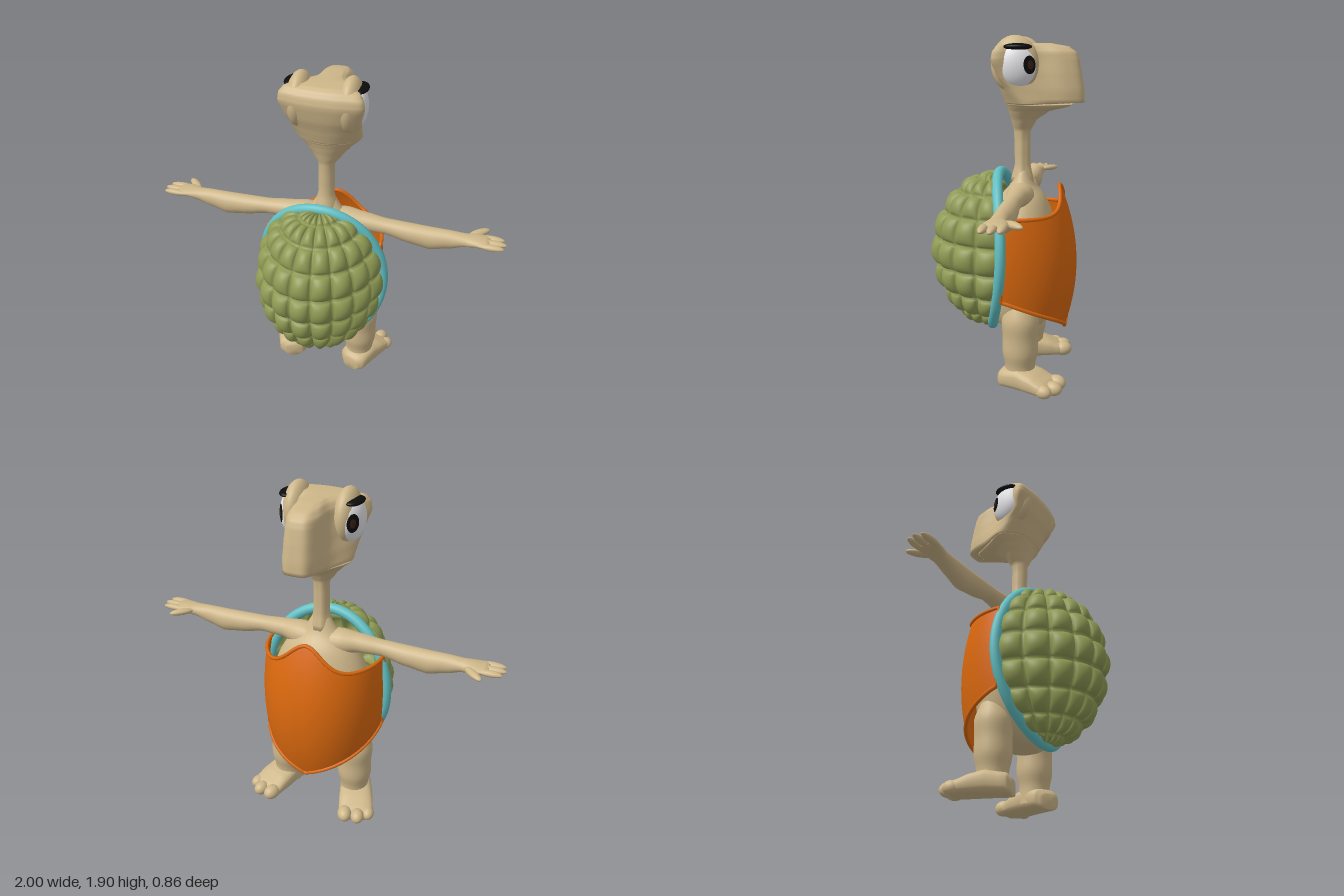
import * as THREE from 'three';
import { ParametricGeometry } from 'three/addons/geometries/ParametricGeometry.js';

const mat = (name, color, side = THREE.FrontSide) => {
  const m = new THREE.MeshStandardMaterial({ color, side });
  m.name = name;
  return m;
};

const V = (x, y, z) => new THREE.Vector3(x, y, z);

// Skin a list of closed rings, capping both ends; winding is made outward.
function loft(rings) {
  const n = rings[0].length, pos = [], idx = [];
  rings.forEach(r => r.forEach(p => pos.push(p.x, p.y, p.z)));
  const center = r => r.reduce((a, p) => a.add(p), V(0, 0, 0)).divideScalar(n);
  for (let i = 0; i < rings.length - 1; i++)
    for (let j = 0; j < n; j++) {
      const a = i * n + j, b = i * n + (j + 1) % n;
      idx.push(a, b, b + n, a, b + n, a + n);
    }
  const last = (rings.length - 1) * n, c0 = rings.length * n;
  for (const r of [rings[0], rings.at(-1)]) pos.push(...center(r).toArray());
  for (let j = 0; j < n; j++) {
    const k = (j + 1) % n;
    idx.push(c0, k, j, c0 + 1, last + j, last + k);
  }
  const p = i => V(pos[3 * i], pos[3 * i + 1], pos[3 * i + 2]);
  let volume = 0;
  for (let i = 0; i < idx.length; i += 3) volume += p(idx[i]).dot(p(idx[i + 1]).cross(p(idx[i + 2])));
  if (volume < 0) idx.reverse();
  const g = new THREE.BufferGeometry();
  g.setAttribute('position', new THREE.Float32BufferAttribute(pos, 3));
  g.setIndex(idx);
  g.computeVertexNormals();
  return g;
}

// Smoothly resample rows of section numbers.
function smoothRows(rows, steps) {
  const out = [];
  for (let i = 0; i < rows.length - 1; i++)
    for (let s = 0; s < steps; s++) {
      const t = s / steps, k = t * t * (3 - 2 * t) * 0.5 + t * 0.5;
      out.push(rows[i].map((a, c) => a + (rows[i + 1][c] - a) * (c ? k : t)));
    }
  out.push(rows.at(-1));
  return out;
}

export function createModel() {
  const skin = mat('skin', 0xcdb689);
  const olive = mat('shellOlive', 0x8f9a54, THREE.DoubleSide);
  const teal = mat('rimTeal', 0x62c0c4);
  const orange = mat('plastronOrange', 0xda680e, THREE.DoubleSide);
  const white = mat('eyeWhite', 0xe6e6ea);
  const black = mat('black', 0x0c0c0c);
  const brown = mat('pupilBrown', 0x3a2012);

  const model = new THREE.Group();
  const add = (name, geo, material, parent = model) => {
    const m = new THREE.Mesh(geo, material);
    m.name = name;
    parent.add(m);
    return m;
  };
  const ball = (name, material, c, r, parent) => {
    const m = add(name, new THREE.SphereGeometry(1, 32, 20), material, parent);
    m.position.set(...c);
    m.scale.set(...r);
    return m;
  };

  // Torso
  const profile = new THREE.SplineCurve([[0, 0.29], [0.15, 0.3], [0.25, 0.38], [0.295, 0.55], [0.295, 0.75],
    [0.26, 0.9], [0.19, 1.03], [0.1, 1.11], [0.05, 1.19]].map(p => new THREE.Vector2(...p)));
  const torso = add('torso', new THREE.LatheGeometry(profile.getPoints(40), 40), skin);
  torso.scale.z = 0.68;
  torso.position.z = -0.09;

  // Neck, jaw and beak: [y, back z, half width, z of widest, mid half width, beak half width, front z]
  const headRows = [
    [1.12, -0.02, 0.07, -0.085, 0.05, 0.035, -0.15],
    [1.22, -0.045, 0.046, -0.085, 0.037, 0.027, -0.13],
    [1.4, -0.04, 0.046, -0.085, 0.037, 0.027, -0.13],
    [1.46, -0.025, 0.09, -0.1, 0.075, 0.05, -0.16],
    [1.51, -0.01, 0.135, -0.11, 0.1, 0.06, -0.23],
    [1.54, 0, 0.17, -0.12, 0.12, 0.075, -0.345],
    [1.55, 0.005, 0.18, -0.12, 0.12, 0.075, -0.36],
    [1.553, 0.005, 0.18, -0.12, 0.1, 0.06, -0.3],
    [1.56, 0.01, 0.185, -0.11, 0.125, 0.085, -0.42],
    [1.62, 0.03, 0.19, -0.06, 0.125, 0.09, -0.417],
    [1.7, 0.06, 0.205, 0, 0.115, 0.088, -0.405],
    [1.78, 0.078, 0.228, 0.03, 0.1, 0.083, -0.39],
    [1.82, 0.07, 0.222, 0.03, 0.095, 0.08, -0.375],
    [1.85, 0.05, 0.2, 0.015, 0.08, 0.065, -0.335],
    [1.868, 0.02, 0.15, -0.02, 0.06, 0.045, -0.24],
  ];
  const headRing = ([y, zb, W, zW, S, B, zf]) => {
    const half = [[W * 0.6, zb + (zW - zb) * 0.25], [W, zW], [S, zW + (zf - zW) * 0.5],
      [B, zW + (zf - zW) * 0.82], [B * 0.6, zf + (zW - zf) * 0.02]];
    const pts = [[0, zb], ...half, [0, zf], ...half.map(([x, z]) => [-x, z]).reverse()];
    return new THREE.CatmullRomCurve3(pts.map(([x, z]) => V(x, y, z)), true).getPoints(64).slice(0, 64);
  };
  add('headAndNeck', loft(smoothRows(headRows, 3).map(headRing)), skin);

  // Domed shell covered in pillow-like scutes, sitting on a wavy rim
  const rimZ = y => -0.02 + 0.08 * ((y - 0.78) / 0.45) ** 2;
  const shell = new ParametricGeometry((u, v, p) => {
    const lon = (u - 0.5) * Math.PI, lat = (v - 0.5) * Math.PI * 0.99;
    const cell = Math.abs(Math.sin(u * 9 * Math.PI) * Math.sin(v * 9 * Math.PI)) ** 0.45;
    const b = 0.05 * cell * Math.sqrt(Math.cos(lat));
    const c = Math.cos(lat), y = 0.735 + (0.425 + b) * Math.sin(lat);
    p.set((0.33 + b) * c * Math.sin(lon), y,
      (0.385 + b) * c * Math.cos(lon) + rimZ(y) * (1 - c * Math.cos(lon)));
  }, 126, 126);
  shell.computeVertexNormals();
  add('shell', shell, olive);

  const rimPts = [];
  for (let i = 0; i < 32; i++) {
    const a = i / 32 * Math.PI * 2, y = 0.735 + 0.437 * Math.sin(a);
    rimPts.push(V(0.36 * Math.cos(a), y, rimZ(y)));
  }
  add('shellRim', new THREE.TubeGeometry(new THREE.CatmullRomCurve3(rimPts, true), 96, 0.029, 12, true), teal);

  // Chest plate with a peak at the top and a point at the bottom
  const plate = (u, v, p) => {
    const a = (0.5 - u) * Math.PI, t = Math.abs(1 - 2 * u);
    const top = 0.97 + 0.14 * Math.exp(-((a / 0.42) ** 2)), low = 0.29 + 0.24 * t;
    const y = low + (top - low) * v;
    return p.set((0.35 - 0.3 * (y - 0.72) ** 2) * Math.sin(a), y,
      -0.02 * t - (0.395 - 0.48 * (y - 0.65) ** 2) * Math.cos(a));
  };
  const plateGeo = new ParametricGeometry(plate, 48, 32);
  plateGeo.computeVertexNormals();
  add('chestPlate', plateGeo, orange);
  const edge = [];
  for (let i = 0; i <= 32; i++) edge.push(plate(i / 32, 1, V(0, 0, 0)));
  for (let i = 1; i < 10; i++) edge.push(plate(1, 1 - i / 10, V(0, 0, 0)));
  for (let i = 32; i >= 0; i--) edge.push(plate(i / 32, 0, V(0, 0, 0)));
  for (let i = 1; i < 10; i++) edge.push(plate(0, i / 10, V(0, 0, 0)));
  add('chestPlateEdge', new THREE.TubeGeometry(new THREE.CatmullRomCurve3(edge, true), 160, 0.011, 8, true), orange);

  // Arm sections: [x, y, half height, z, half depth]
  const armRows = [[0.02, 1.04, 0.08, -0.09, 0.08], [0.12, 1.06, 0.07, -0.09, 0.075], [0.22, 1.068, 0.052, -0.085, 0.055],
    [0.35, 1.063, 0.044, -0.08, 0.046], [0.48, 1.047, 0.057, -0.08, 0.052], [0.6, 1.037, 0.065, -0.08, 0.053],
    [0.7, 1.05, 0.052, -0.08, 0.046], [0.78, 1.062, 0.035, -0.08, 0.044], [0.84, 1.07, 0.026, -0.085, 0.058],
    [0.89, 1.071, 0.02, -0.08, 0.062], [0.91, 1.071, 0.012, -0.08, 0.055]];
  const armRing = ([x, y, ry, z, rz]) => Array.from({ length: 24 }, (_, i) => {
    const a = i / 24 * Math.PI * 2;
    return V(x, y + ry * Math.sin(a), z + rz * Math.cos(a));
  });
  const armGeo = loft(smoothRows(armRows, 4).map(armRing));

  // Foot sections: [distance forward, half width, height]
  const footRows = [[-0.01, 0.05, 0.08], [0.02, 0.088, 0.11], [0.12, 0.095, 0.13], [0.2, 0.1, 0.11],
    [0.27, 0.1, 0.08], [0.31, 0.085, 0.055]];
  const footRing = ([d, w, h]) => Array.from({ length: 28 }, (_, i) => {
    const a = i / 28 * Math.PI * 2, sq = v => Math.sign(v) * Math.abs(v) ** 0.7;
    return V(w * sq(Math.cos(a)), 0.005 + h * (0.5 + 0.5 * sq(Math.sin(a))), -d);
  });
  const footGeo = loft(smoothRows(footRows, 3).map(footRing));
  const legProfile = new THREE.SplineCurve([[0.085, 0.04], [0.083, 0.13], [0.098, 0.21], [0.097, 0.3], [0.1, 0.4],
    [0.06, 0.5]].map(p => new THREE.Vector2(...p)));

  for (const s of [1, -1]) {
    const side = new THREE.Group();
    side.name = s > 0 ? 'leftSide' : 'rightSide';
    side.scale.x = s;
    model.add(side);

    // Arm, fingers and thumb
    add('arm', armGeo, skin, side);
    for (const [z, tip] of [[-0.122, 0.985], [-0.08, 1], [-0.038, 0.99]])
      ball('finger', skin, [tip - 0.07, 1.07, z], [0.07, 0.017, 0.021], side);
    ball('thumb', skin, [0.845, 1.072, -0.16], [0.068, 0.018, 0.023], side).rotation.y = 0.75;

    // Leg, foot and toes
    const leg = add('leg', new THREE.LatheGeometry(legProfile.getPoints(24), 28), skin, side);
    leg.position.set(0.215, 0, -0.108);
    const foot = new THREE.Group();
    foot.name = 'foot';
    foot.position.set(0.19, 0, -0.01);
    foot.rotation.y = -0.36;
    side.add(foot);
    add('sole', footGeo, skin, foot);
    for (const [x, d, r] of [[-0.065, 0.3, 0.046], [0.008, 0.315, 0.043], [0.07, 0.285, 0.04]])
      ball('toe', skin, [x, r * 0.9 + 0.005, -d], [r * 0.9, r * 0.9, r * 1.15], foot);

    // Eye socket, eyeball, pupil and brow
    ball('eyeSocket', skin, [0.135, 1.76, -0.062], [0.068, 0.148, 0.126], side);
    const eye = new THREE.Group();
    eye.name = 'eye';
    eye.position.set(0.162, 1.75, -0.08);
    eye.rotation.y = 0.2;
    eye.scale.set(0.058, 0.112, 0.1);
    side.add(eye);
    add('eyeball', new THREE.SphereGeometry(1, 32, 24), white, eye);
    const look = new THREE.Quaternion().setFromUnitVectors(V(0, 1, 0), V(0.75, 0.06, -0.62).normalize());
    const cap = (name, r, angle, m) =>
      add(name, new THREE.SphereGeometry(r, 24, 8, 0, Math.PI * 2, 0, angle), m, eye).quaternion.copy(look);
    cap('iris', 1.02, 0.42, black);
    cap('pupil', 1.035, 0.2, brown);
    ball('brow', black, [0.175, 1.848, -0.082], [0.045, 0.018, 0.075], side).rotation.y = 0.1;
  }
  return model;
}
